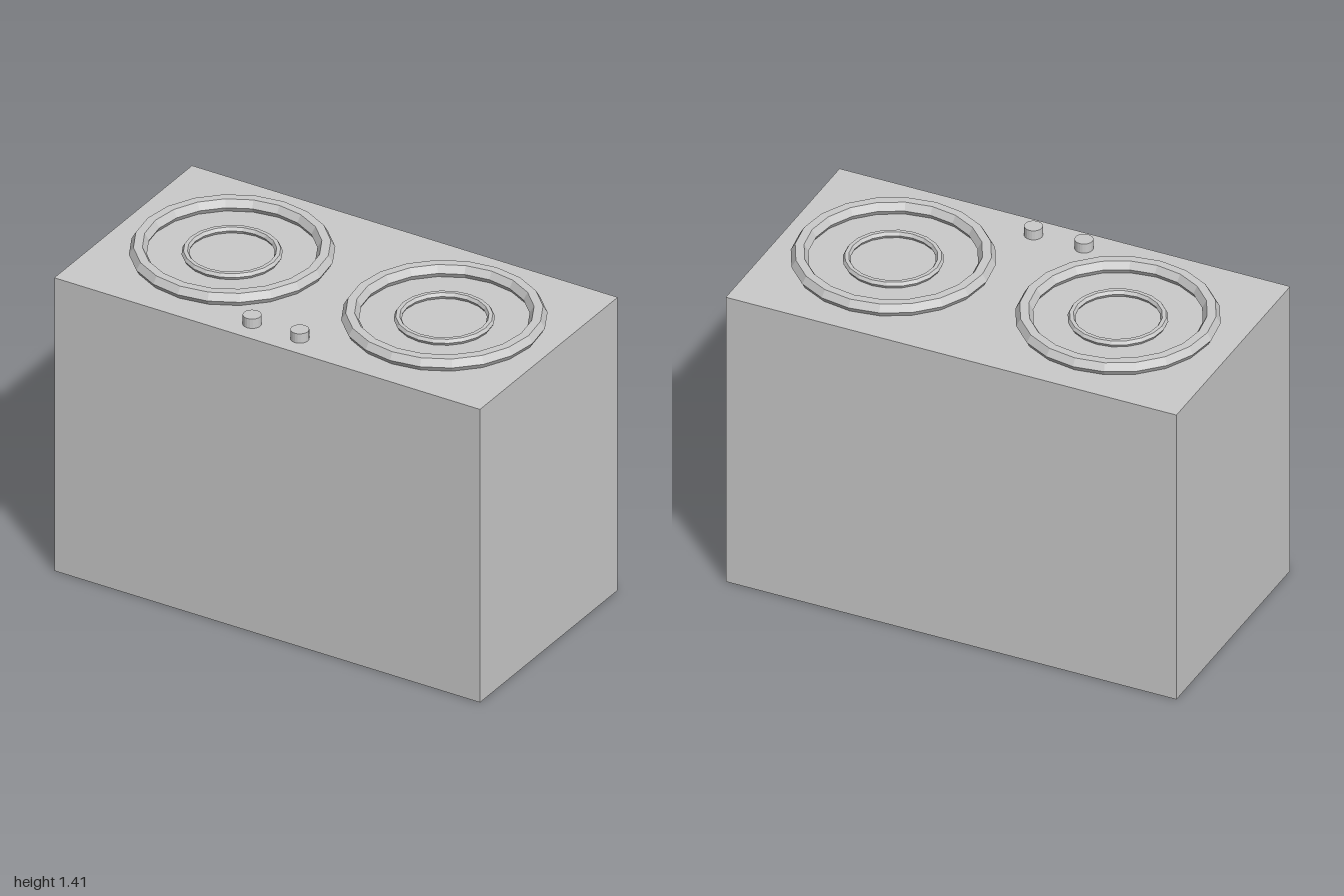
import * as THREE from 'three';

const BODY = { w: 2, h: 1.355, d: 1.05 };

export function createModel() {
  const model = new THREE.Group();
  const mat = new THREE.MeshStandardMaterial({ color: 0xcccccc, flatShading: true });

  const add = (parent, name, geometry, x, y, z) => {
    const mesh = new THREE.Mesh(geometry, mat);
    mesh.name = name;
    mesh.position.set(x, y, z);
    parent.add(mesh);
  };

  // Cabinet standing on the floor
  add(model, 'cabinet', new THREE.BoxGeometry(BODY.w, BODY.h, BODY.d), 0, BODY.h / 2, 0);

  // Two burners, each a large and a small faceted ring lying flat
  const ring = (radius, tube) => new THREE.TorusGeometry(radius, tube, 6, 20).rotateX(-Math.PI / 2);
  const outerRing = ring(0.378, 0.036);
  const innerRing = ring(0.187, 0.016);
  for (const [name, x] of [['rightBurner', -0.488], ['leftBurner', 0.509]]) {
    const burner = new THREE.Group();
    burner.name = name;
    burner.position.set(x, BODY.h, 0);
    add(burner, 'outerRing', outerRing, 0, 0.022, 0);
    add(burner, 'innerRing', innerRing, 0, 0.014, 0);
    model.add(burner);
  }

  // Control knobs near the front edge
  const knob = new THREE.CylinderGeometry(0.038, 0.038, 0.043, 20);
  add(model, 'rightKnob', knob, -0.134, BODY.h + 0.0215, 0.422);
  add(model, 'leftKnob', knob, 0.09, BODY.h + 0.0215, 0.422);

  return model;
}
